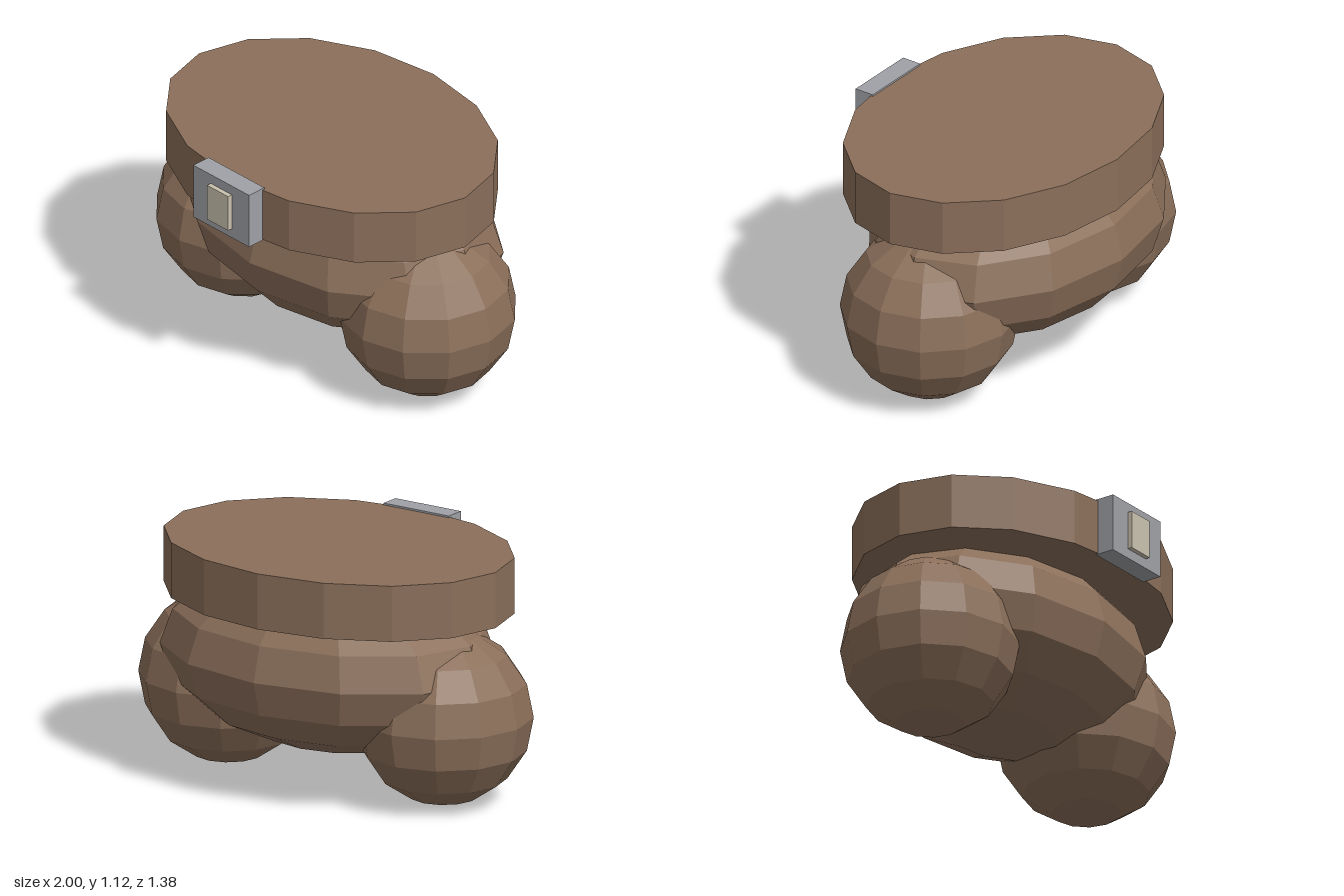
import * as THREE from 'three';

const mat = (name, color) => {
  const m = new THREE.MeshStandardMaterial({ color });
  m.name = name;
  m.flatShading = true;
  return m;
};

export function createModel() {
  const brown = mat('brown cloth', 0x8b6f5a);
  const steel = mat('grey metal', 0x9fa1a6);
  const cream = mat('cream inlay', 0xcac2af);
  const group = new THREE.Group();
  group.name = 'beltedHips';

  const add = (name, geometry, material, position, scale = [1, 1, 1]) => {
    const mesh = new THREE.Mesh(geometry, material);
    mesh.name = name;
    mesh.position.set(...position);
    mesh.scale.set(...scale);
    group.add(mesh);
  };

  // Faceted ball shared by the pelvis and the thighs
  const ball = new THREE.SphereGeometry(1, 12, 8);
  add('pelvis', ball, brown, [0, 0.61, -0.1], [0.84, 0.425, 0.59]);
  for (const [name, side] of [['leftThigh', 1], ['rightThigh', -1]]) {
    add(name, ball, brown, [side * 0.593, 0.409, -0.05], [0.407, 0.407, 0.407]);
  }

  // Wide oval belt
  add('belt', new THREE.CylinderGeometry(1, 1, 0.26, 16), brown, [0, 0.985, -0.025], [0.86, 1, 0.635]);

  // Buckle with a raised inlay
  add('buckle', new THREE.BoxGeometry(0.36, 0.273, 0.095), steel, [0, 0.987, 0.62]);
  add('buckleInlay', new THREE.BoxGeometry(0.136, 0.18, 0.05), cream, [0, 0.987, 0.665]);

  return group;
}
